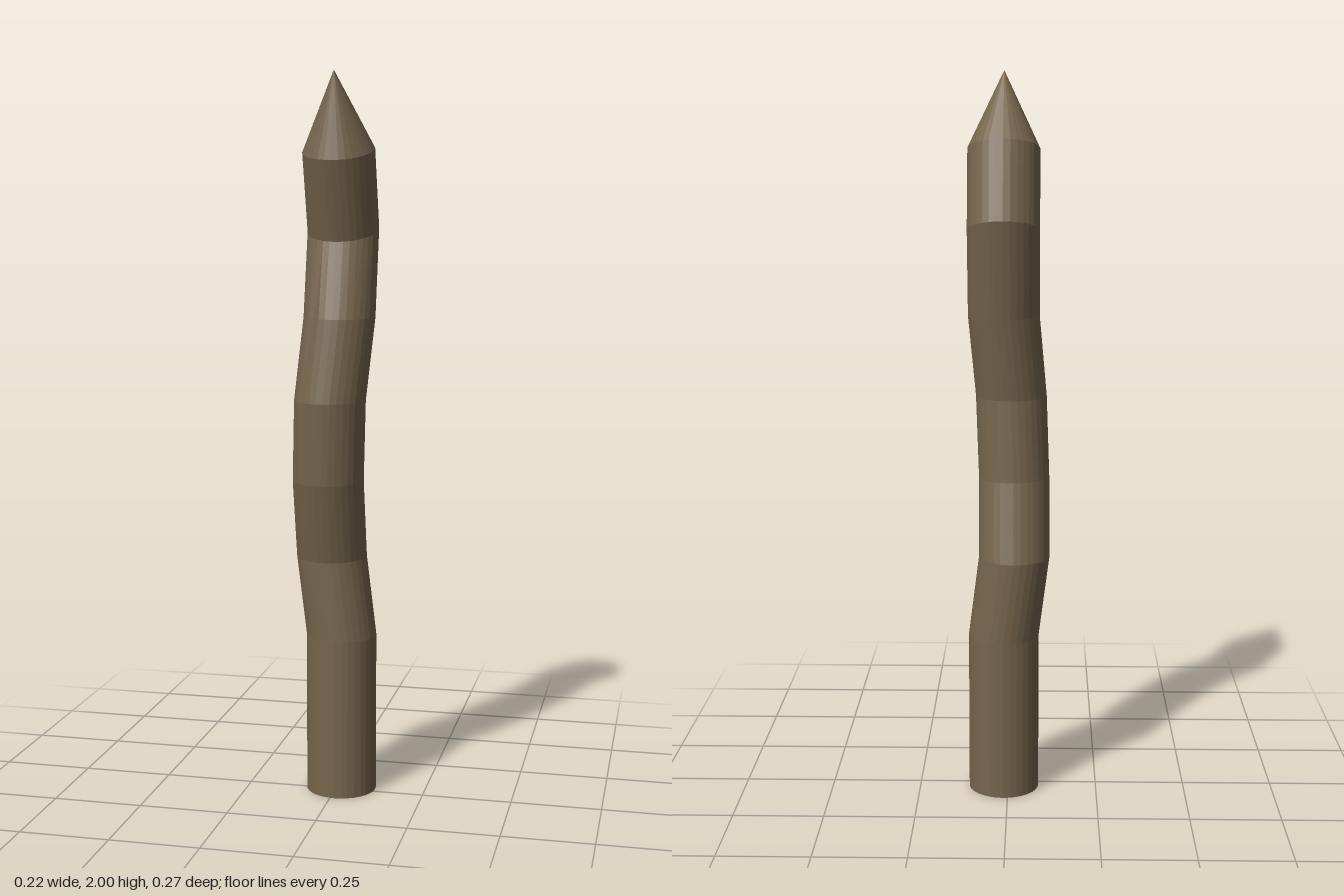
import * as THREE from 'three';

const SIDES = 32;
const RADIUS = 0.098;

// Ring centres up the stake: x, y, z, backward tilt, groove depth
const RINGS = [
  [0.012, 0, -0.02, 0, 0],
  [0.012, 0.45, -0.02, 0, 0],
  [-0.017, 0.675, -0.025, 0.03, 0],
  [-0.016, 0.895, 0.026, 0, 0],
  [-0.008, 1.12, 0.04, 0, 0],
  [0.012, 1.345, 0.01, 0, 0.004],
  [0.012, 1.58, -0.039, 0.31, 0],
  [0.012, 1.793, 0.021, 0.29, 0],
];
const TIP = [0.012, 2, 0.08];

// Points of one tilted ring, with a shallow groove at the front right
function ringPoints([x, y, z, tilt, groove]) {
  const points = [];
  for (let i = 0; i < SIDES; i++) {
    const a = (i / SIDES) * Math.PI * 2;
    const r = RADIUS - (i === SIDES - 3 ? groove : 0);
    const dz = Math.cos(a) * r;
    points.push([x + Math.sin(a) * r, y - dz * Math.sin(tilt), z + dz * Math.cos(tilt)]);
  }
  return points;
}

function buildGeometry(points, index) {
  const geometry = new THREE.BufferGeometry();
  geometry.setAttribute('position', new THREE.Float32BufferAttribute(points.flat(), 3));
  geometry.setIndex(index);
  geometry.computeVertexNormals();
  return geometry;
}

// Bent shaft with a closed foot
function shaftGeometry() {
  const points = RINGS.flatMap(ringPoints);
  const index = [];
  for (let k = 0; k < RINGS.length - 1; k++) {
    for (let i = 0; i < SIDES; i++) {
      const a = k * SIDES + i;
      const b = k * SIDES + ((i + 1) % SIDES);
      index.push(a, b, b + SIDES, a, b + SIDES, a + SIDES);
    }
  }
  const foot = points.push(RINGS[0].slice(0, 3)) - 1;
  for (let i = 0; i < SIDES; i++) index.push(foot, (i + 1) % SIDES, i);
  return buildGeometry(points, index);
}

// Leaning cone from the last ring to the tip
function pointGeometry() {
  const points = [...ringPoints(RINGS[RINGS.length - 1]), TIP];
  const index = [];
  for (let i = 0; i < SIDES; i++) index.push(i, (i + 1) % SIDES, SIDES);
  return buildGeometry(points, index);
}

export function createModel() {
  const wood = new THREE.MeshStandardMaterial({ color: 0x75654c });
  wood.name = 'weathered wood';
  wood.flatShading = true;

  const model = new THREE.Group();
  model.name = 'woodenStake';

  const shaft = new THREE.Mesh(shaftGeometry(), wood);
  shaft.name = 'bentShaft';
  const point = new THREE.Mesh(pointGeometry(), wood);
  point.name = 'sharpenedPoint';

  model.add(shaft, point);
  return model;
}
